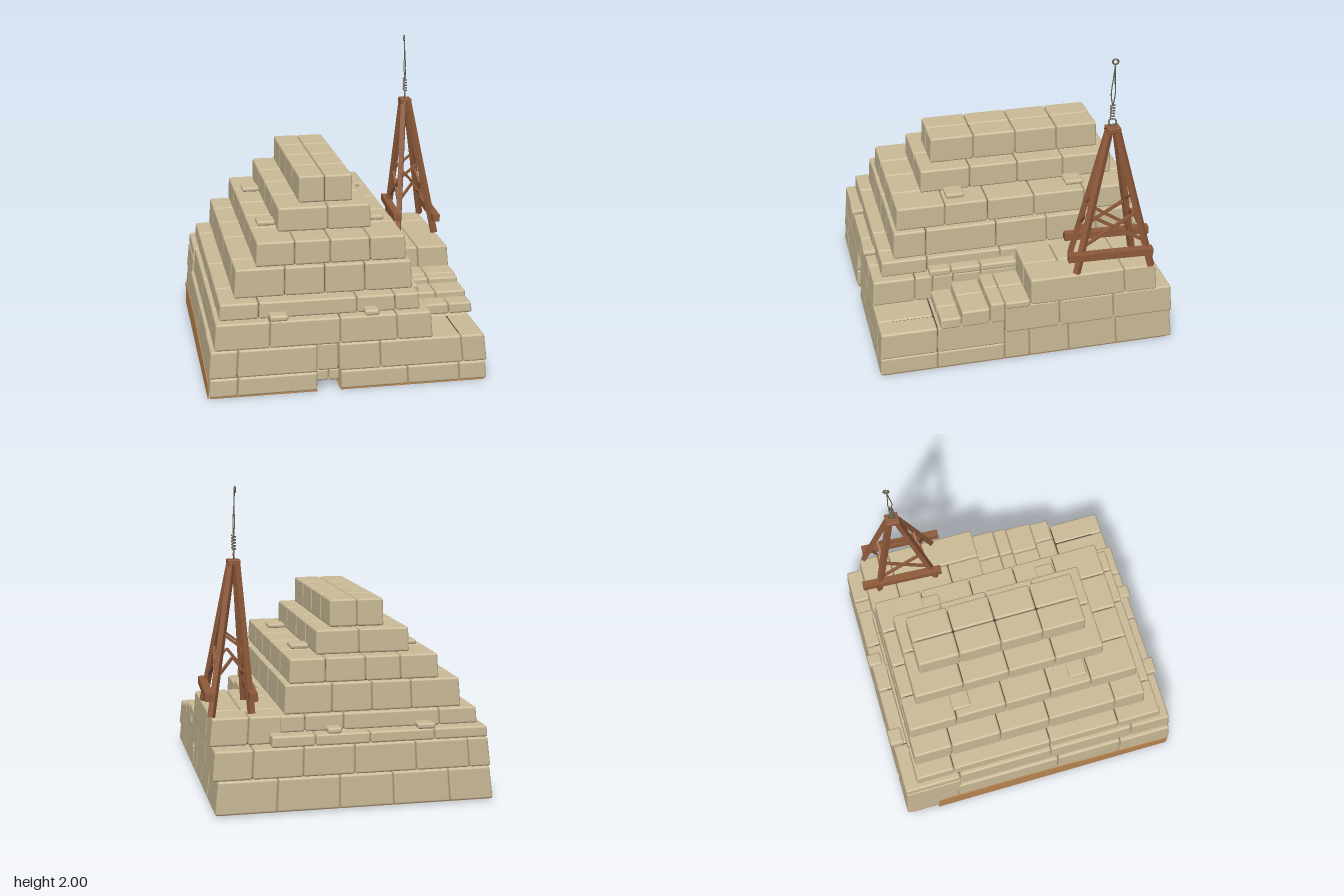
import * as THREE from 'three';
import { RoundedBoxGeometry } from 'three/addons/geometries/RoundedBoxGeometry.js';
import { mergeGeometries } from 'three/addons/utils/BufferGeometryUtils.js';

const mat = (name, color) => Object.assign(new THREE.MeshStandardMaterial({ color }), { name });

export function createModel() {
  const model = new THREE.Group();
  model.name = 'steppedStonePyramid';
  const stone = mat('sandstone', 0xcbbb98);
  const seam = mat('darkSeam', 0x4a4232);
  const clay = mat('clayFill', 0xb98551);
  const timber = mat('timber', 0x8f5a3a);
  const rope = mat('rope', 0x6c6552);

  let seed = 7;
  const rnd = () => (seed = (seed * 16807) % 2147483647) / 2147483647;

  const add = (name, geo, material, parent = model) => {
    const m = new THREE.Mesh(geo, material);
    m.name = name;
    parent.add(m);
    return m;
  };

  // One worn block, leaning slightly inwards towards its top
  const block = (x0, x1, y0, y1, z0, z1) => {
    const g = 0.005, w = x1 - x0 - g, h = y1 - y0 - 0.003, d = z1 - z0 - g;
    const geo = new RoundedBoxGeometry(w, h, d, 2, Math.min(0.014, h * 0.4));
    geo.translate((x0 + x1) / 2, (y0 + y1) / 2, (z0 + z1) / 2);
    const p = geo.attributes.position, k = 0.09 + rnd() * 0.03;
    for (let i = 0; i < p.count; i++) {
      const t = p.getY(i) - y0;
      p.setX(i, p.getX(i) - (p.getX(i) + 0.05) * k * t);
      p.setZ(i, p.getZ(i) - p.getZ(i) * k * 0.7 * t);
    }
    return geo;
  };
  const rowX = (xs, z0, z1, y0, y1) => xs.slice(1).map((x, i) => block(xs[i], x, y0, y1, z0, z1));
  const rowZ = (zs, x0, x1, y0, y1) => zs.slice(1).map((z, i) => block(x0, x1, y0, y1, zs[i], z));
  const stones = (name, ...rows) => add(name, mergeGeometries(rows.flat()), stone);
  const box = (name, x0, x1, y0, y1, z0, z1, m) => {
    const geo = new THREE.BoxGeometry(x1 - x0, y1 - y0, z1 - z0);
    return add(name, geo.translate((x0 + x1) / 2, (y0 + y1) / 2, (z0 + z1) / 2), m);
  };

  // Base courses, with a notch in the middle of the front
  stones('baseFront',
    rowX([-0.91, -0.73, -0.22], 0.62, 1, 0.008, 0.13),
    rowX([-0.22, -0.14, -0.07], 0.62, 0.95, 0.05, 0.13),
    rowX([-0.07, 0.37, 0.71, 0.89], 0.62, 1, 0.008, 0.13),
    rowX([-0.91, -0.73, -0.22], 0.62, 0.995, 0.13, 0.31),
    rowX([-0.22, -0.08], 0.62, 0.97, 0.13, 0.31),
    rowX([-0.08, 0.19, 0.73, 0.89], 0.62, 0.995, 0.13, 0.31));
  stones('baseLeftOfFront',
    rowZ([-0.6, -0.1, 0.62], -0.9, -0.5, 0.008, 0.13),
    rowZ([-0.6, 0.15, 0.62], -0.905, -0.5, 0.13, 0.31));
  stones('baseRightOfFront',
    rowZ([0.17, 0.62], 0.45, 0.89, 0.008, 0.13),
    rowZ([0.17, 0.62], 0.45, 0.89, 0.13, 0.31),
    rowZ([-0.6, -0.27, 0, 0.17], 0.45, 0.89, 0.008, 0.22),
    rowZ([-0.57, -0.2, 0.17], 0.45, 0.9, 0.22, 0.41));
  stones('baseBack',
    rowX([-0.905, -0.62, -0.25, 0.1, 0.5, 0.89], -0.99, -0.6, 0.008, 0.22),
    rowX([-0.89, -0.75, -0.4, 0, 0.33, 0.65, 0.9], -0.975, -0.57, 0.22, 0.41));

  // Third course, nearly flush with the base
  stones('thirdCourse',
    rowX([-0.87, -0.52, -0.07, 0.3, 0.53], 0.7, 0.985, 0.31, 0.485),
    rowZ([-0.57, 0.1, 0.7], -0.87, -0.5, 0.31, 0.485),
    rowZ([0, 0.25, 0.44, 0.58, 0.7], 0.25, 0.53, 0.31, 0.485),
    rowX([-0.87, -0.52, -0.1, 0.25, 0.53], -0.965, -0.57, 0.41, 0.485));

  // Terrace beside the pyramid, stepping down to the front
  stones('terrace',
    rowZ([-0.64, -0.24, 0], 0.4, 0.68, 0.41, 0.59),
    rowZ([-0.64, 0], 0.68, 0.9, 0.41, 0.59),
    rowX([0.4, 0.66, 0.9], -0.86, -0.64, 0.41, 0.59));
  stones('terraceSteps',
    rowX([0.5, 0.69, 0.9], 0, 0.17, 0.4, 0.45),
    rowX([0.5, 0.69, 0.9], 0.17, 0.27, 0.31, 0.45),
    rowX([0.5, 0.69, 0.9], 0.27, 0.46, 0.31, 0.42),
    rowX([0.53, 0.74, 0.9], 0.46, 0.6, 0.31, 0.385),
    rowZ([0, 0.25, 0.45, 0.6], 0.42, 0.53, 0.48, 0.53));

  // Upper courses: the outer ring of a grid of blocks, around a dark core
  const course = (name, y0, y1, xs, zs) => {
    const n = xs.length - 1, m = zs.length - 1, inner = zs.slice(1, m);
    stones(name, rowX(xs, zs[0], zs[1], y0, y1), rowX(xs, zs[m - 1], zs[m], y0, y1),
      rowZ(inner, xs[0], xs[1], y0, y1), rowZ(inner, xs[n - 1], xs[n], y0, y1));
    box(name + 'Core', xs[0] + 0.04, xs[n] - 0.04, y0, y1 - 0.02, zs[0] + 0.04, zs[m] - 0.04, seam);
  };
  course('fourthCourse', 0.48, 0.59, [-0.83, -0.58, 0.05, 0.3, 0.46], [-0.87, -0.6, 0.1, 0.6, 0.91]);
  course('fifthCourse', 0.59, 0.78, [-0.725, -0.4, -0.14, 0.12, 0.43], [-0.85, -0.58, -0.23, 0.12, 0.6, 0.82]);
  course('sixthCourse', 0.78, 0.94, [-0.58, -0.33, -0.1, 0.16, 0.395], [-0.835, -0.5, -0.15, 0.17, 0.46, 0.79]);
  course('seventhCourse', 0.94, 1.1, [-0.41, -0.08, 0.205], [-0.74, -0.4, -0.08, 0.25, 0.59]);
  course('topCourse', 1.1, 1.28, [-0.26, -0.085, 0.1], [-0.665, -0.38, -0.09, 0.2, 0.5]);

  // Dark cores seen only through the joints
  box('baseCore', -0.86, 0.84, 0.07, 0.3, -0.92, 0.9, seam);
  box('thirdCore', -0.81, 0.48, 0.3, 0.47, -0.9, 0.92, seam);
  box('terraceCore', 0.3, 0.84, 0.3, 0.56, -0.8, -0.05, seam);

  // Small stones projecting from the ledges
  const pegs = [];
  for (const [x0, x1] of [[-0.525, -0.4], [0.2, 0.325]])
    for (const z of [-0.51, 0.31]) pegs.push(block(x0, x1, 0.94, 0.975, z, z + 0.13));
  for (const [x0, x1] of [[-0.52, -0.4], [0.085, 0.18]])
    for (const z of [-0.98, 0.89]) pegs.push(block(x0, x1, 0.485, 0.525, z, z + 0.1));
  stones('ledgeStones', pegs);

  // Clay underside with a stone channel, and the exposed clay strip on one side
  box('undersideWide', -0.07, 0.87, 0, 0.006, -0.95, 0.985, clay);
  box('undersideNarrow', -0.9, -0.22, 0, 0.006, -0.95, 0.985, clay);
  box('undersideJoin', -0.22, -0.07, 0, 0.006, -0.95, -0.45, clay);
  box('channelRoof', -0.23, -0.06, 0.05, 0.069, -0.6, 0.9, stone);
  const strip = new THREE.Shape([[-0.76, 0], [0.98, 0], [0.98, 0.11], [-0.05, 0.18], [-0.74, 0.17]]
    .map(([z, y]) => new THREE.Vector2(-z, y)));
  const stripGeo = new THREE.ExtrudeGeometry(strip, { depth: 0.007, bevelEnabled: false });
  add('clayStrip', stripGeo.rotateY(Math.PI / 2).translate(-0.916, 0, 0), clay);

  // Timber tripod-like hoist on the terrace
  const hoist = new THREE.Group();
  hoist.name = 'hoist';
  model.add(hoist);
  const V = (x, y, z) => new THREE.Vector3(x, y, z);
  const bar = (name, a, b, w, h = w) => {
    const m = add(name, new THREE.BoxGeometry(w, h, a.distanceTo(b)), timber, hoist);
    m.position.copy(a).lerp(b, 0.5);
    m.lookAt(b);
  };
  bar('skidBeam', V(0.62, 0.715, -0.87), V(0.59, 0.715, -0.3), 0.05);
  bar('skidBeam', V(0.89, 0.715, -0.81), V(0.865, 0.715, -0.25), 0.05);
  const feet = [V(0.605, 0.59, -0.34), V(0.62, 0.59, -0.76), V(0.865, 0.59, -0.31), V(0.88, 0.59, -0.81)];
  const heads = [V(0.68, 1.52, -0.545), V(0.68, 1.52, -0.595), V(0.71, 1.52, -0.545), V(0.71, 1.52, -0.595)];
  const on = (i, t) => feet[i].clone().lerp(heads[i], t);
  feet.forEach((f, i) => bar('leg', f, heads[i], 0.036));
  for (const [a, b] of [[0, 1], [2, 3]]) {
    bar('sideBrace', on(a, 0.19), on(b, 0.41), 0.018);
    bar('sideBrace', on(b, 0.19), on(a, 0.41), 0.018);
  }
  for (const [a, b] of [[0, 2], [1, 3]]) {
    const peak = on(a, 0.38).lerp(on(b, 0.38), 0.5);
    bar('lowerBrace', on(a, 0.25), peak, 0.016);
    bar('lowerBrace', peak, on(b, 0.25), 0.016);
    bar('upperBrace', on(a, 0.42), on(b, 0.54), 0.016);
  }
  const cap = add('cap', new RoundedBoxGeometry(0.08, 0.038, 0.09, 2, 0.006), timber, hoist);
  cap.position.set(0.695, 1.522, -0.57);

  // Rope: eye on the cap, coiled knot, two strands and a loop at the end
  const tube = (name, pts, r, n = 32) =>
    add(name, new THREE.TubeGeometry(new THREE.CatmullRomCurve3(pts), n, r, 6), rope, hoist);
  const ring = (name, x, y, z, r, t) => {
    const m = add(name, new THREE.TorusGeometry(r, t, 6, 20), rope, hoist);
    m.position.set(x, y, z);
    m.rotation.y = 1.35;
  };
  ring('ropeEye', 0.692, 1.57, -0.567, 0.024, 0.005);
  const coil = [];
  for (let i = 0; i <= 40; i++) {
    const a = i * Math.PI / 4;
    coil.push(V(0.692 + 0.012 * Math.cos(a), 1.595 + i * 0.0024, -0.565 + 0.013 * Math.sin(a)));
  }
  tube('ropeCoil', coil, 0.0045, 120);
  for (const s of [-1, 1])
    tube('ropeStrand', [V(0.692, 1.68, -0.565), V(0.69 + s * 0.003, 1.76, -0.565 + s * 0.014),
      V(0.688, 1.86, -0.568 + s * 0.006), V(0.685, 1.96, -0.573)], 0.0035);
  ring('ropeLoop', 0.682, 1.976, -0.574, 0.017, 0.006);

  return model;
}
